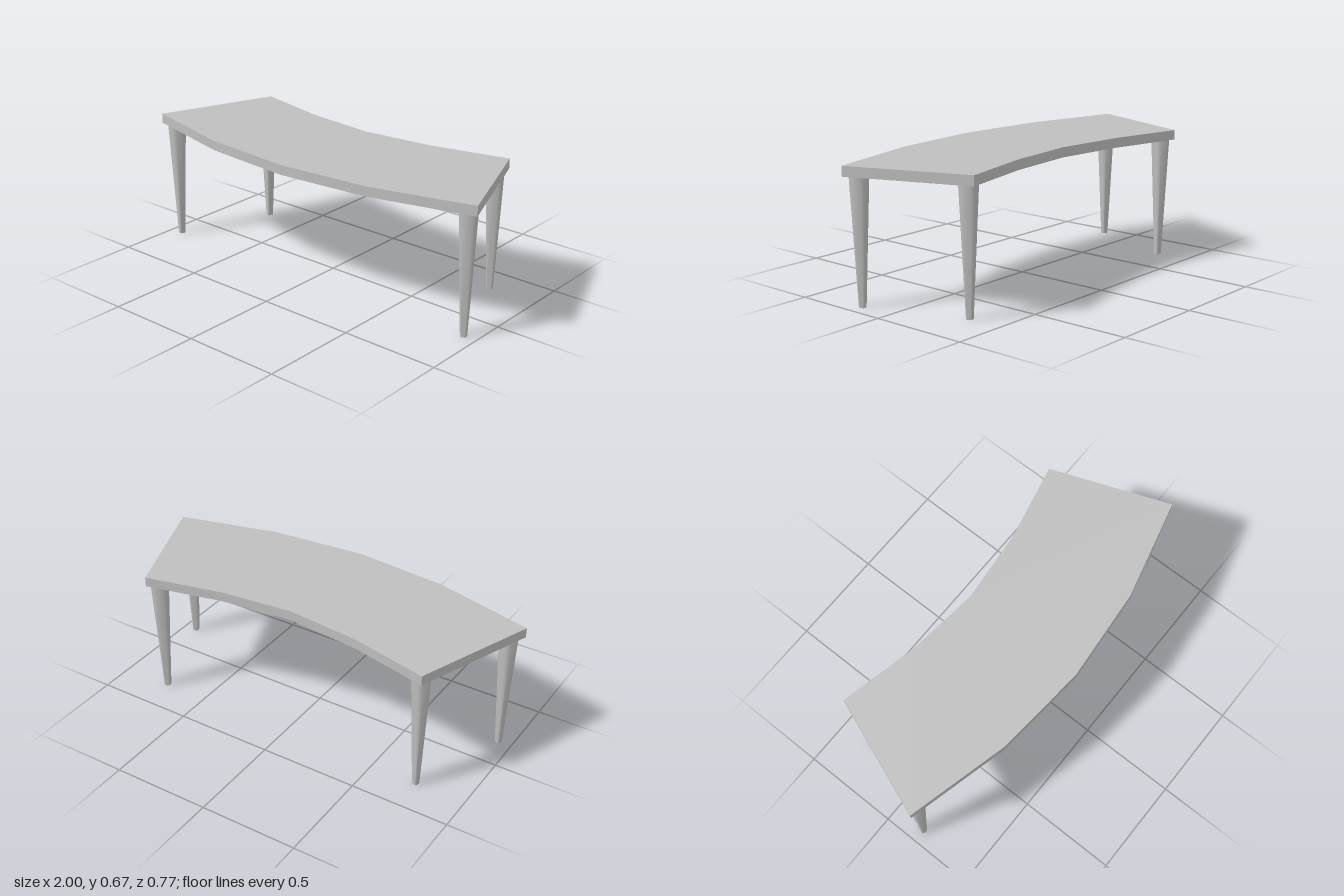
import * as THREE from 'three';
import { toCreasedNormals } from 'three/addons/utils/BufferGeometryUtils.js';

const TOP = 0.67, UNDERSIDE = 0.62, END_ANGLE = 0.36;

// Curved slab with angled ends, outlined as x/z points
function tabletopGeometry() {
  const half = [[0, 0.385], [0.48, 0.343], [1, 0.212], [0.775, -0.385], [0.38, -0.295], [0, -0.255]];
  const mirrored = half.slice(1, -1).reverse().map(([x, z]) => [-x, z]);
  const shape = new THREE.Shape([...half, ...mirrored].map(([x, z]) => new THREE.Vector2(x, -z)));
  const geo = new THREE.ExtrudeGeometry(shape, { depth: TOP - UNDERSIDE, bevelEnabled: false });
  geo.rotateX(-Math.PI / 2).translate(0, UNDERSIDE, 0);
  return toCreasedNormals(geo, 0.5);
}

// Tapered square leg with chamfered corners
function legGeometry() {
  const geo = new THREE.CylinderGeometry(0.0466, 0.0178, UNDERSIDE, 8, 1);
  const pos = geo.attributes.position;
  for (let i = 0; i < pos.count; i++) {
    const x = pos.getX(i), z = pos.getZ(i), r = Math.hypot(x, z);
    if (r < 1e-6) continue;
    const k = Math.round(Math.atan2(x, z) / (Math.PI / 4));
    // uneven spacing gives four wide faces and four narrow chamfers
    const a = THREE.MathUtils.degToRad(k * 45 + (k % 2 === 0 ? 31 : 14));
    pos.setX(i, r * Math.sin(a));
    pos.setZ(i, r * Math.cos(a));
  }
  geo.translate(0, UNDERSIDE / 2, 0);
  return toCreasedNormals(geo, 1.0);
}

export function createModel() {
  const model = new THREE.Group();
  model.name = 'curvedTable';
  const grey = new THREE.MeshStandardMaterial({ color: 0xbfbfbf });
  grey.name = 'grey';

  const tabletop = new THREE.Mesh(tabletopGeometry(), grey);
  tabletop.name = 'tabletop';
  model.add(tabletop);

  // Legs turned to follow the angled ends
  const legGeo = legGeometry();
  for (const [place, x, z] of [['front', 0.93, 0.175], ['back', 0.74, -0.32]]) {
    for (const side of [1, -1]) {
      const leg = new THREE.Mesh(legGeo, grey);
      leg.name = place + (side > 0 ? 'Left' : 'Right') + 'Leg';
      leg.position.set(side * x, 0, z);
      leg.rotation.y = side * END_ANGLE;
      model.add(leg);
    }
  }
  return model;
}
